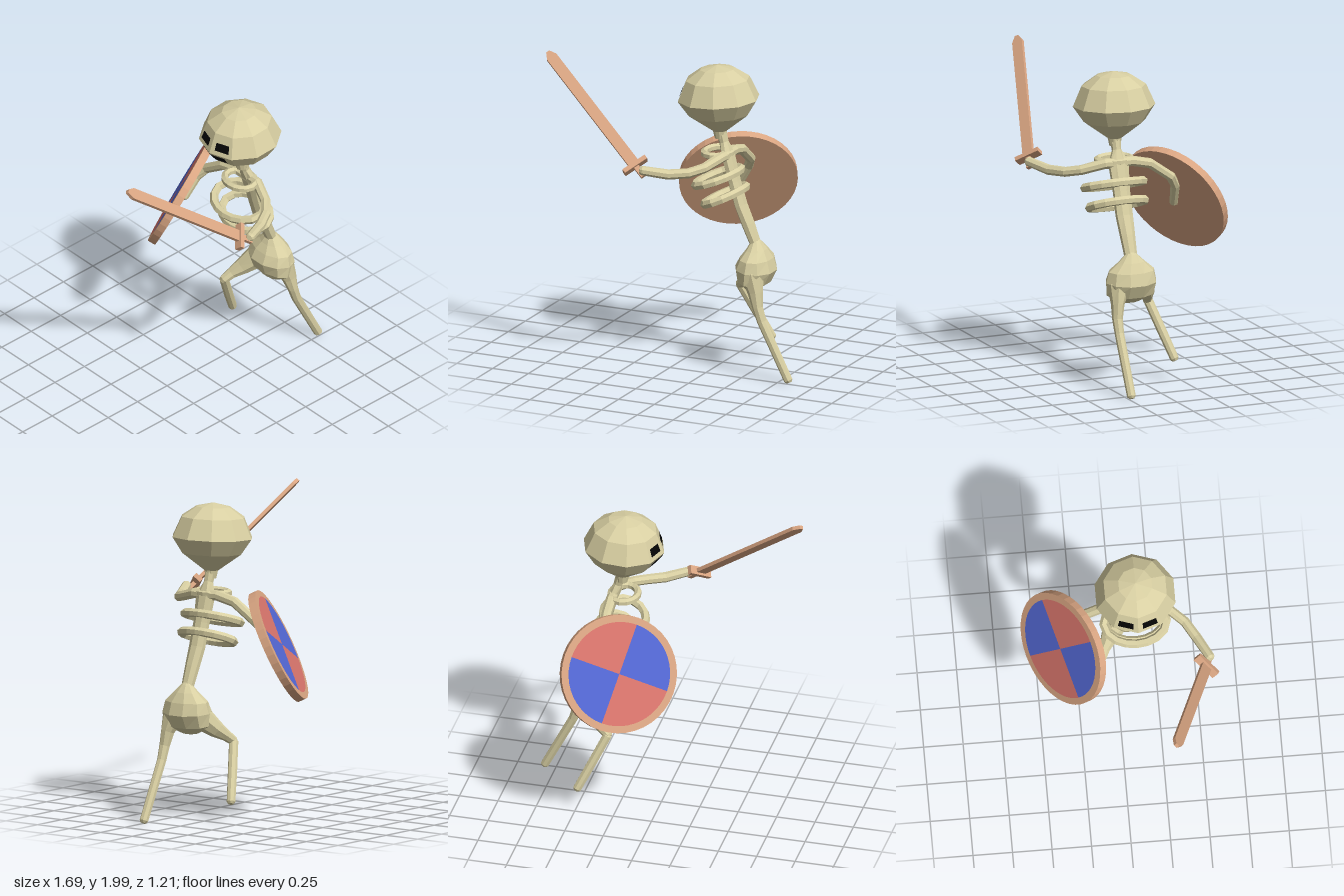
import * as THREE from 'three';

const mat = (color, side = THREE.FrontSide) =>
  new THREE.MeshStandardMaterial({ color, flatShading: true, side });
const bone = mat(0xd8cfa2);
const wood = mat(0xd9a582);
const red = mat(0xd9756c);
const blue = mat(0x5468d4);
const black = mat(0x050505, THREE.DoubleSide);
const V = (x, y, z) => new THREE.Vector3(x, y, z);

function part(name, geometry, material) {
  const m = new THREE.Mesh(geometry, material);
  m.name = name;
  return m;
}

// Faceted skin over elliptical sections [x, y, z, radiusA, radiusB], closed at both ends
function loft(sections, ref, sides = 8) {
  const pts = sections.map(s => V(s[0], s[1], s[2]));
  const n = pts.length, pos = [], idx = [];
  const ring = (c, t, a, b) => {
    const A = t.clone().cross(ref).normalize(), B = t.clone().cross(A);
    for (let j = 0; j < sides; j++) {
      const q = ((j + 0.5) / sides) * Math.PI * 2;
      const p = c.clone().addScaledVector(A, a * Math.cos(q)).addScaledVector(B, b * Math.sin(q));
      pos.push(p.x, p.y, p.z);
    }
  };
  pts.forEach((c, i) => {
    const t = pts[Math.min(i + 1, n - 1)].clone().sub(pts[Math.max(i - 1, 0)]).normalize();
    const a = sections[i][3], b = sections[i][4] ?? a;
    const tip = c.clone().addScaledVector(t, (i ? 0.5 : -0.5) * Math.min(a, b));
    if (i === 0) { ring(tip, t, 0, 0); ring(tip, t, a * 0.6, b * 0.6); }
    ring(c, t, a, b);
    if (i === n - 1) { ring(tip, t, a * 0.6, b * 0.6); ring(tip, t, 0, 0); }
  });
  for (let i = 0; i < n + 3; i++)
    for (let j = 0; j < sides; j++) {
      const k = (j + 1) % sides, a = i * sides, b = a + sides;
      idx.push(a + j, a + k, b + k, a + j, b + k, b + j);
    }
  const g = new THREE.BufferGeometry();
  g.setAttribute('position', new THREE.Float32BufferAttribute(pos, 3));
  g.setIndex(idx);
  g.computeVertexNormals();
  return g;
}

// Head: ten-sided skull looking towards -x, with dark patches laid on its facets
function makeHead() {
  const head = new THREE.Group();
  head.name = 'head';
  const profile = [[0.035, -0.26], [0.045, -0.21], [0.195, -0.1], [0.262, 0],
    [0.205, 0.13], [0.11, 0.195], [0.0, 0.22]].map(p => new THREE.Vector2(...p));
  head.add(part('skull', new THREE.LatheGeometry(profile, 10, Math.PI / 2), bone));

  // u runs from the nose edge across one facet, v along the band from widest ring to (r, y)
  const patch = (name, dir, r, y, u0, u1, v0, v1) => {
    const at = (u, v) => {
      const R = THREE.MathUtils.lerp(0.262, r, v), a = Math.PI / 5;
      return V(-R * (1 - u + u * Math.cos(a)), y * v, dir * R * u * Math.sin(a)).add(V(-0.004, 0, dir * 0.002));
    };
    const g = new THREE.BufferGeometry().setFromPoints([at(u0, v0), at(u1, v0), at(u1, v1), at(u0, v1)]);
    g.setIndex([0, 1, 2, 0, 2, 3]);
    g.computeVertexNormals();
    head.add(part(name, g, black));
  };
  for (const dir of [-1, 1]) {
    patch('eyeSocket', dir, 0.205, 0.13, 0.2, 0.85, 0.22, 0.6);
    patch('mouth', dir, 0.195, -0.1, 0, 0.65, 0.15, 0.8);
  }
  head.position.set(0.272, 1.782, 0.11);
  head.rotation.z = 0.05;
  return head;
}

// Sword: built along +y with its width on x, then turned into the hand
function makeSword() {
  const sword = new THREE.Group();
  sword.name = 'sword';
  const s = new THREE.Shape([[-0.036, 0], [0.036, 0], [0.036, 0.92], [0.012, 0.965], [-0.012, 0.965], [-0.036, 0.92]]
    .map(p => new THREE.Vector2(...p)));
  const blade = new THREE.ExtrudeGeometry(s, { depth: 0.024, bevelEnabled: false });
  sword.add(part('blade', blade.translate(0, 0, -0.012), wood));
  sword.add(part('guard', new THREE.BoxGeometry(0.17, 0.03, 0.055), wood));
  const grip = part('grip', new THREE.BoxGeometry(0.035, 0.09, 0.025), wood);
  grip.position.y = -0.05;
  sword.add(grip);
  const d = V(-0.756, 0.601, -0.259).normalize();
  const n = V(0.61, 0.46, -0.645).cross(d).normalize();
  const w = d.clone().cross(n);
  sword.setRotationFromMatrix(new THREE.Matrix4().makeBasis(w, d, n));
  sword.position.set(-0.11, 1.405, 0.53);
  return sword;
}

// Shield: round board with a quartered face on its outer side
function makeShield() {
  const shield = new THREE.Group();
  shield.name = 'shield';
  const R = 0.375, t = 0.05;
  shield.add(part('board', new THREE.CylinderGeometry(R, R, t, 40).rotateX(Math.PI / 2), wood));
  for (let i = 0; i < 4; i++) {
    const q = new THREE.CircleGeometry(R * 0.88, 12, -0.47 + i * Math.PI / 2, Math.PI / 2);
    shield.add(part('quarter', q.translate(0, 0, t / 2 + 0.002), i % 2 ? red : blue));
  }
  const n = V(-0.45, 0.43, -0.78).normalize();
  const u = V(0, 1, 0).cross(n).normalize();
  shield.setRotationFromMatrix(new THREE.Matrix4().makeBasis(u, n.clone().cross(u), n));
  shield.position.set(0.19, 1.12, -0.35);
  return shield;
}

// Rib: closed elliptical hoop, higher at the back (+x) by the given tilt
function makeRib(x, y, hx, hz, tilt, r) {
  const pts = [];
  for (let i = 0; i < 12; i++) {
    const a = (i / 12) * Math.PI * 2;
    pts.push(V(x + hx * Math.cos(a), y + tilt * Math.cos(a), 0.11 + hz * Math.sin(a)));
  }
  return part('rib', new THREE.TubeGeometry(new THREE.CatmullRomCurve3(pts, true), 16, r, 6, true), bone);
}

export function createModel() {
  const model = new THREE.Group();
  const Y = V(0, 1, 0), Z = V(0, 0, 1);
  model.add(makeHead(), makeSword(), makeShield());

  // Spine and pelvis
  model.add(part('spine', loft([
    [0.29, 1.57, 0.11, 0.035], [0.31, 1.5, 0.11, 0.03], [0.34, 1.42, 0.11, 0.035, 0.07],
    [0.385, 1.25, 0.11, 0.036, 0.058], [0.43, 1.1, 0.11, 0.038, 0.058],
    [0.48, 0.98, 0.11, 0.04, 0.05], [0.53, 0.86, 0.11, 0.035, 0.042]], Z), bone));
  model.add(part('pelvis', loft([
    [0.535, 0.87, 0.11, 0.035, 0.042], [0.54, 0.825, 0.11, 0.065, 0.09], [0.54, 0.77, 0.11, 0.1, 0.155],
    [0.535, 0.7, 0.11, 0.128, 0.172], [0.525, 0.62, 0.11, 0.095, 0.165], [0.515, 0.59, 0.11, 0.05, 0.12]],
    Z, 10), bone));

  // Ribcage
  const ribs = new THREE.Group();
  ribs.name = 'ribcage';
  ribs.add(makeRib(0.27, 1.43, 0.085, 0.11, 0.0, 0.024));
  ribs.add(makeRib(0.27, 1.265, 0.13, 0.2, 0.045, 0.028));
  ribs.add(makeRib(0.32, 1.15, 0.115, 0.19, 0.05, 0.028));
  model.add(ribs);

  // Arms
  model.add(part('swordArm', loft([
    [0.34, 1.42, 0.1, 0.035], [0.335, 1.425, 0.2, 0.034], [0.28, 1.385, 0.34, 0.032], [0.21, 1.365, 0.42, 0.032],
    [0.1, 1.36, 0.485, 0.033], [-0.05, 1.388, 0.56, 0.03]], Y), bone));
  model.add(part('shieldArm', loft([
    [0.34, 1.42, 0.12, 0.035], [0.335, 1.425, 0.02, 0.034], [0.33, 1.395, -0.11, 0.033],
    [0.32, 1.29, -0.26, 0.032], [0.28, 1.22, -0.31, 0.032], [0.2, 1.085, -0.335, 0.028]], V(1, 0, 0)), bone));

  // Legs
  model.add(part('trailingLeg', loft([
    [0.55, 0.68, 0.2, 0.075], [0.585, 0.57, 0.225, 0.05, 0.042], [0.605, 0.48, 0.235, 0.034],
    [0.635, 0.39, 0.235, 0.03], [0.82, 0.027, 0.235, 0.028]], Z), bone));
  model.add(part('raisedThigh', loft([
    [0.51, 0.67, 0.02, 0.08], [0.43, 0.59, -0.04, 0.055], [0.37, 0.545, -0.075, 0.036],
    [0.32, 0.505, -0.098, 0.03]], Z), bone));
  model.add(part('raisedShin', loft([
    [0.325, 0.505, -0.1, 0.03], [0.41, 0.325, -0.155, 0.03], [0.495, 0.15, -0.208, 0.028]], Z), bone));
  return model;
}
